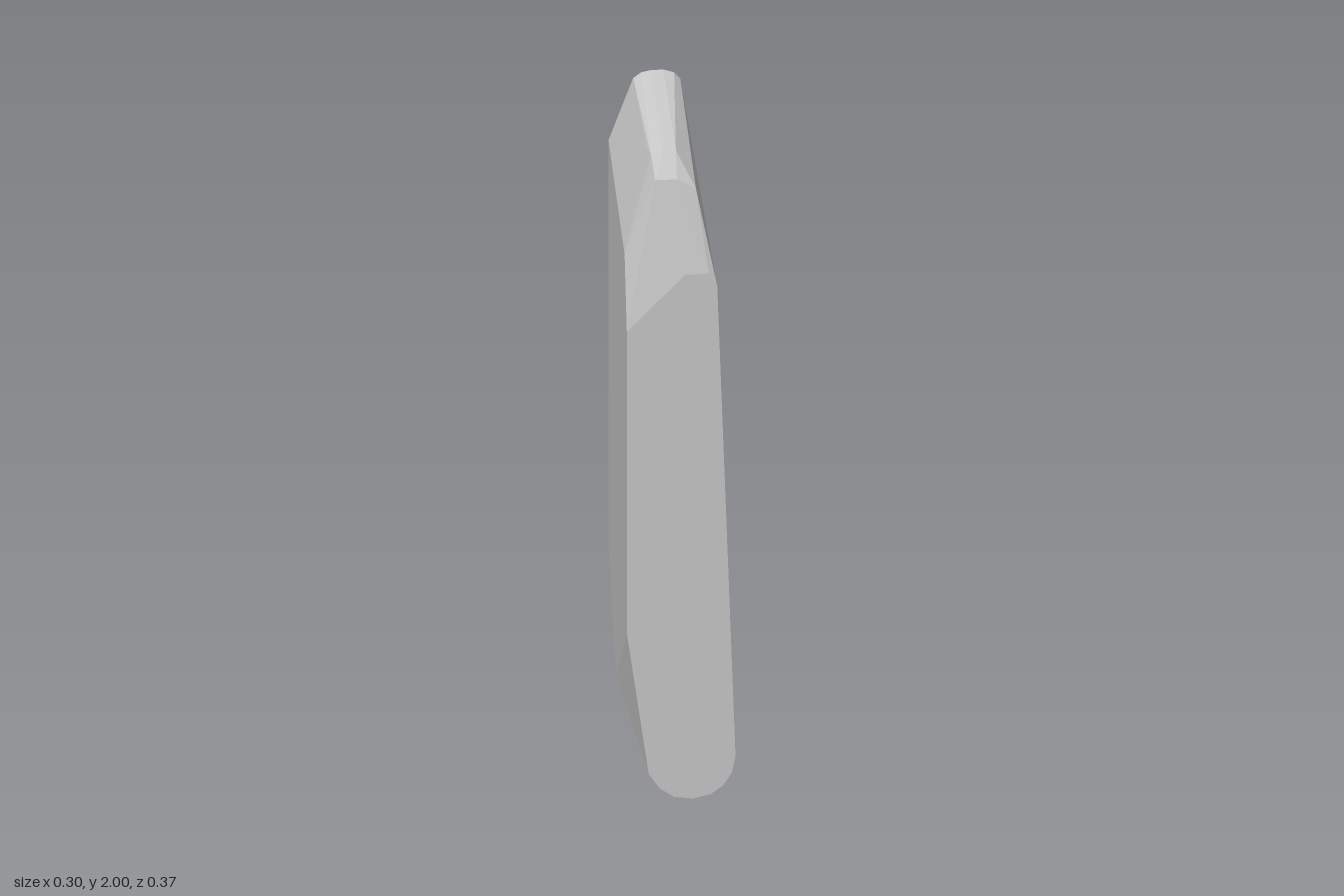
import * as THREE from 'three';
import { ConvexGeometry } from 'three/addons/geometries/ConvexGeometry.js';

// Faceted slab: cross-sections from front to back, wrapped in one convex skin.
const FRONT = 0.185, BACK = -0.185;

// Outline points [x, y] on a plane of constant z
const section = (z, outline) => outline.map(([x, y]) => new THREE.Vector3(x, y, z));

export function createModel() {
  const stone = new THREE.MeshStandardMaterial({ color: 0xc4c4c4 });
  stone.name = 'pale grey';

  const points = [
    // flat front face with a rounded foot
    ...section(FRONT, [
      [-0.15, 1.39], [0.01, 1.55], [0.075, 1.55], [0.098, 1.51],
      [0.148, 0.12], [0.138, 0.07], [0.115, 0.035], [0.08, 0.01], [0.03, 0],
      [-0.02, 0.008], [-0.06, 0.035], [-0.09, 0.08], [-0.15, 0.5],
    ]),
    // front shoulder of the sloping top
    ...section(0.14, [[-0.15, 1.6]]),
    ...section(0.13, [[-0.065, 1.81], [-0.005, 1.81], [0.047, 1.78]]),
    ...section(0.07, [[-0.068, 1.86], [-0.035, 1.87], [0, 1.87]]),
    ...section(0.03, [[-0.075, 1.87], [0.047, 1.83]]),
    // rounded foot behind the front face
    ...section(0.04, [
      [0.143, 0.13], [0.134, 0.075], [0.1, 0.03], [0.05, 0.01],
      [0.01, 0.01], [-0.04, 0.035], [-0.085, 0.09],
    ]),
    ...section(0, [[0.122, 0.13], [0.085, 0.055], [0.04, 0.03], [0, 0.035], [-0.065, 0.09]]),
    ...section(-0.02, [[0.1, 0.13], [0.05, 0.07], [0.01, 0.07], [-0.05, 0.12]]),
    ...section(-0.03, [[-0.15, 0.28]]),
    // chamfer rising from the foot to the back
    ...section(-0.145, [[0.066, 0.4], [0.035, 0.355], [-0.05, 0.35]]),
    ...section(-0.165, [[0.04, 0.42], [-0.055, 0.4]]),
    // flat back face with a rounded top
    ...section(BACK, [
      [-0.15, 1.8], [-0.082, 1.98], [-0.06, 1.995], [-0.035, 2], [0, 2],
      [0.03, 1.99], [0.047, 1.97], [0.053, 1.5], [0.02, 0.85],
      [-0.03, 0.63], [-0.08, 0.57], [-0.15, 0.6],
    ]),
  ];

  const slab = new THREE.Mesh(new ConvexGeometry(points), stone);
  slab.name = 'facetedSlab';

  const model = new THREE.Group();
  model.name = 'standingSlab';
  model.add(slab);
  return model;
}
